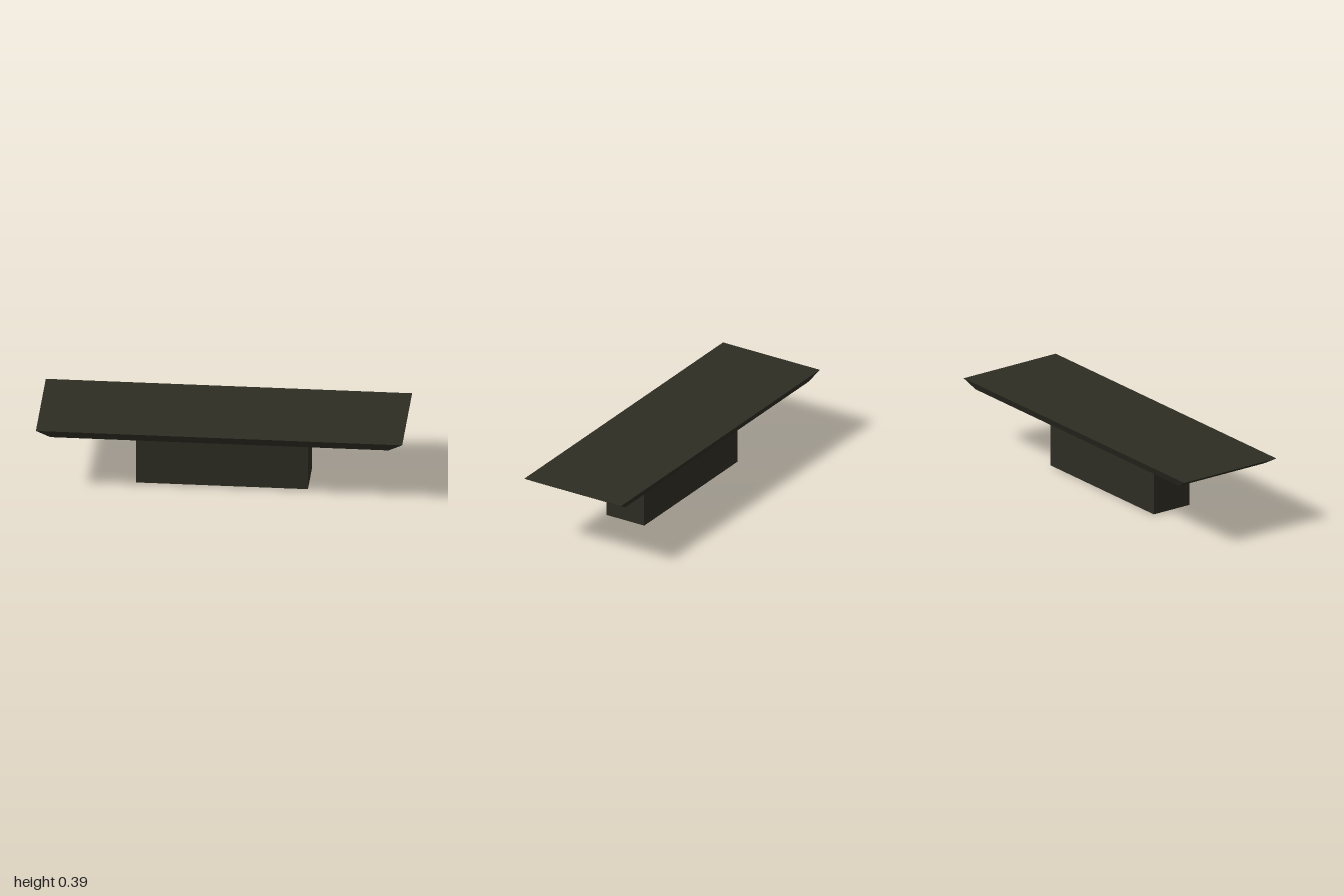
import * as THREE from 'three';

export function createModel() {
  const model = new THREE.Group();
  model.name = 'pedestalTable';

  const darkWood = new THREE.MeshStandardMaterial({ color: 0x2e2d23 });
  darkWood.name = 'darkOliveWood';

  const baseHeight = 0.342;
  const topThickness = 0.046;

  // Solid block pedestal
  const pedestal = new THREE.Mesh(new THREE.BoxGeometry(0.938, baseHeight, 0.244), darkWood);
  pedestal.name = 'pedestal';
  pedestal.position.y = baseHeight / 2;
  model.add(pedestal);

  // Tabletop slab, with its underside drawn in to make bevelled edges
  const slab = new THREE.BoxGeometry(2, topThickness, 0.626);
  const corners = slab.attributes.position;
  for (let i = 0; i < corners.count; i++) {
    if (corners.getY(i) < 0) {
      corners.setX(i, Math.sign(corners.getX(i)) * 0.923);
      corners.setZ(i, Math.sign(corners.getZ(i)) * 0.29);
    }
  }
  slab.computeVertexNormals();
  const tabletop = new THREE.Mesh(slab, darkWood);
  tabletop.name = 'tabletop';
  tabletop.position.y = baseHeight + topThickness / 2;
  model.add(tabletop);

  return model;
}
